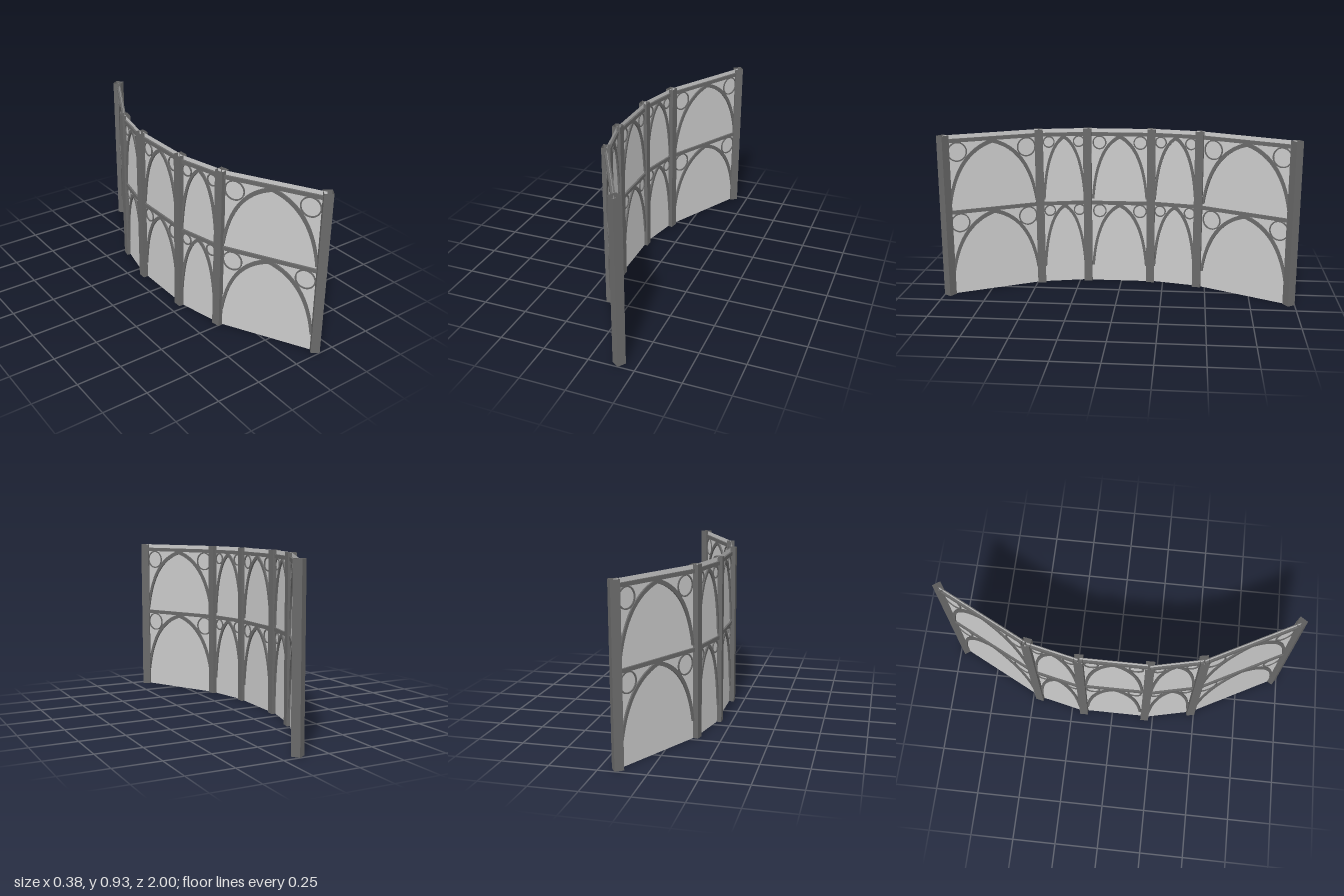
import * as THREE from 'three';

const HEIGHT = 0.93;
const TIER = 0.411; // height step from lower to upper arcade

const frameMat = new THREE.MeshStandardMaterial({ color: 0x6a6a6a, flatShading: true, side: THREE.DoubleSide });
const paneMat = new THREE.MeshStandardMaterial({ color: 0xcccccc, side: THREE.DoubleSide });

function add(parent, name, geometry, material, x = 0, y = 0, z = 0) {
  const mesh = new THREE.Mesh(geometry, material);
  mesh.name = name;
  mesh.position.set(x, y, z);
  parent.add(mesh);
  return mesh;
}

// Flat shape given thickness, centred on the pane
function slab(shape, depth) {
  const geometry = new THREE.ExtrudeGeometry(shape, { depth, bevelEnabled: false, curveSegments: 16 });
  return geometry.translate(0, 0, -depth / 2);
}

// Pointed arch band: outer curve over, inner curve back
function archShape(half) {
  const a = half - 0.012, b = half - 0.026;
  const shape = new THREE.Shape();
  shape.moveTo(-a, 0.1);
  shape.quadraticCurveTo(-a * 0.86, 0.42, 0, 0.483);
  shape.quadraticCurveTo(a * 0.86, 0.42, a, 0.1);
  shape.lineTo(b, 0.1);
  shape.quadraticCurveTo(b * 0.83, 0.4, 0, 0.46);
  shape.quadraticCurveTo(-b * 0.83, 0.4, -b, 0.1);
  shape.closePath();
  return shape;
}

function ringShape(radius) {
  const shape = new THREE.Shape().absarc(0, 0, radius, 0, Math.PI * 2, false);
  shape.holes.push(new THREE.Path().absarc(0, 0, radius - 0.007, 0, Math.PI * 2, true));
  return shape;
}

// One bay between two plan points [x, z]
function makeBay(name, [x0, z0], [x1, z1]) {
  const bay = new THREE.Group();
  bay.name = name;
  const length = Math.hypot(x1 - x0, z1 - z0);
  const half = length / 2;
  bay.position.set((x0 + x1) / 2, 0, (z0 + z1) / 2);
  bay.rotation.y = Math.atan2(z0 - z1, x1 - x0);

  add(bay, 'pane', new THREE.PlaneGeometry(length, HEIGHT), paneMat, 0, HEIGHT / 2);

  const radius = 0.012 + 0.16 * half;
  const ringX = half - 0.018 - radius;
  for (const [tier, y] of [['lower', 0], ['upper', TIER]]) {
    add(bay, tier + 'Rail', new THREE.BoxGeometry(length, 0.021, 0.022), frameMat, 0, y + 0.486);
    add(bay, tier + 'Arch', slab(archShape(half), 0.018), frameMat, 0, y);
    for (const side of [-1, 1]) {
      add(bay, tier + 'SpandrelRing', slab(ringShape(radius), 0.012), frameMat, side * ringX, y + 0.477 - radius);
    }
  }
  return bay;
}

// Square post, open at top and bottom
function makePost(parent, x, z, angle) {
  const geometry = new THREE.CylinderGeometry(0.034, 0.034, HEIGHT, 4, 1, true).rotateY(Math.PI / 4);
  add(parent, 'post', geometry, frameMat, x, HEIGHT / 2, z).rotation.y = angle;
}

export function createModel() {
  const model = new THREE.Group();
  model.name = 'curvedArcadeScreen';

  // Five bays following a shallow curve
  const bays = [
    ['rearOuterBay', [0.155, -0.965], [-0.105, -0.465]],
    ['rearInnerBay', [-0.11, -0.455], [-0.173, -0.178]],
    ['middleBay', [-0.166, -0.168], [-0.166, 0.188]],
    ['frontInnerBay', [-0.172, 0.2], [-0.11, 0.472]],
    ['frontOuterBay', [-0.11, 0.48], [0.15, 0.965]],
  ];
  for (const [name, start, end] of bays) model.add(makeBay(name, start, end));

  // Posts at the joints and both ends
  const posts = [
    [0.155, -0.967, 0.6], [-0.108, -0.454, -0.2], [-0.17, -0.174, 0],
    [-0.17, 0.2, 0], [-0.108, 0.477, 0.2], [0.155, 0.967, -0.6],
  ];
  for (const [x, z, angle] of posts) makePost(model, x, z, angle);

  return model;
}
